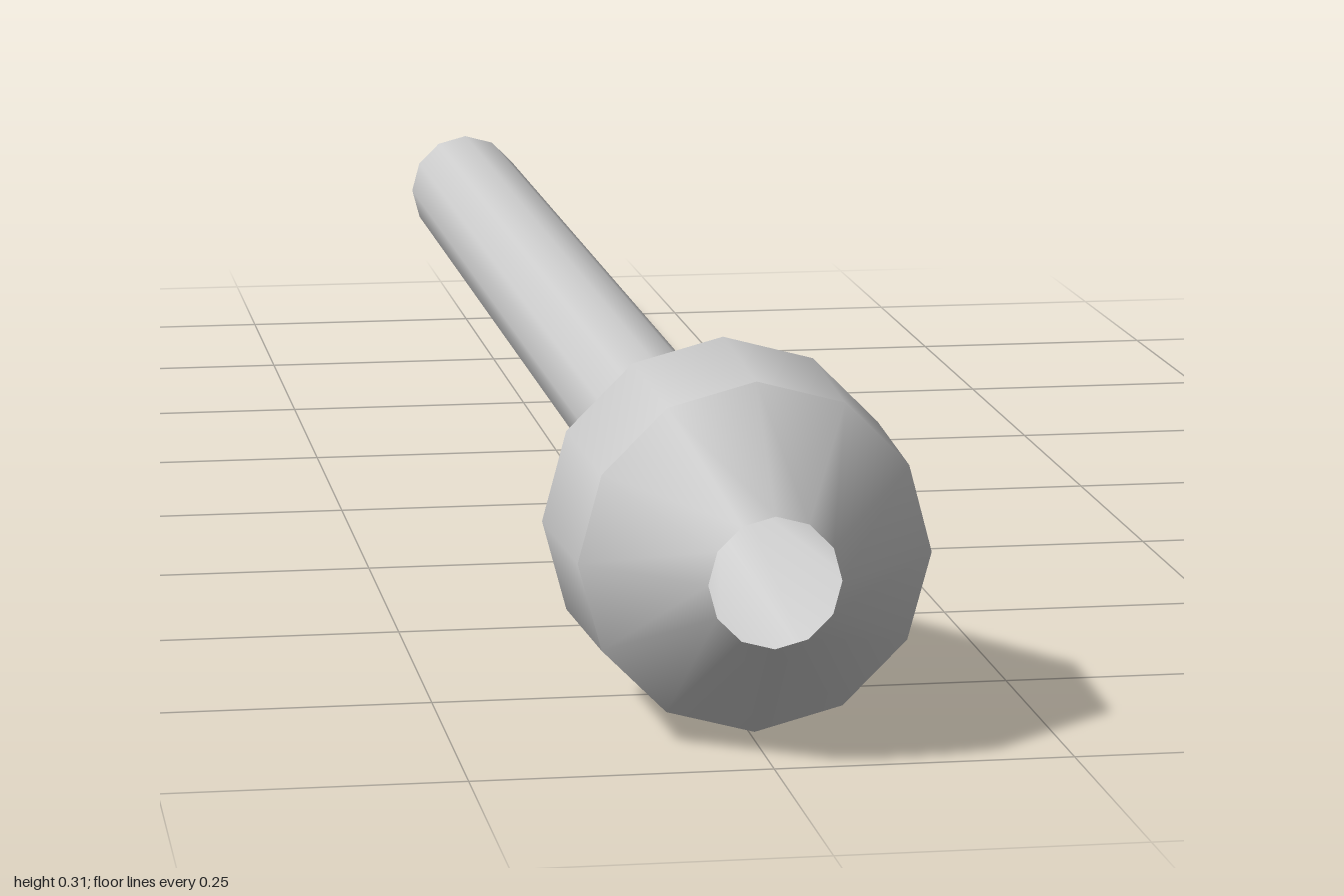
import * as THREE from 'three';

const SIDES = 12;
const AXIS_Y = 0.157;

export function createModel() {
  const group = new THREE.Group();
  group.name = 'hollowClub';
  const material = new THREE.MeshStandardMaterial({ color: 0xcccccc, side: THREE.DoubleSide });

  // Open shell turned around the z axis from [radius, z] pairs, back to front
  function addShell(name, profile) {
    const points = profile.map(([r, z]) => new THREE.Vector2(r, z));
    const geometry = new THREE.LatheGeometry(points, SIDES);
    geometry.rotateX(Math.PI / 2);
    const mesh = new THREE.Mesh(geometry, material);
    mesh.name = name;
    mesh.position.y = AXIS_Y;
    group.add(mesh);
  }

  // Long open handle tube
  addShell('handle', [[0.063, -1], [0.063, 0.55]]);
  // Flared head with a slightly tapering band
  addShell('head', [[0.063, 0.55], [0.155, 0.75], [0.148, 0.91]]);
  // Bevelled nose around the open mouth
  addShell('nose', [[0.148, 0.91], [0.055, 1]]);

  return group;
}
